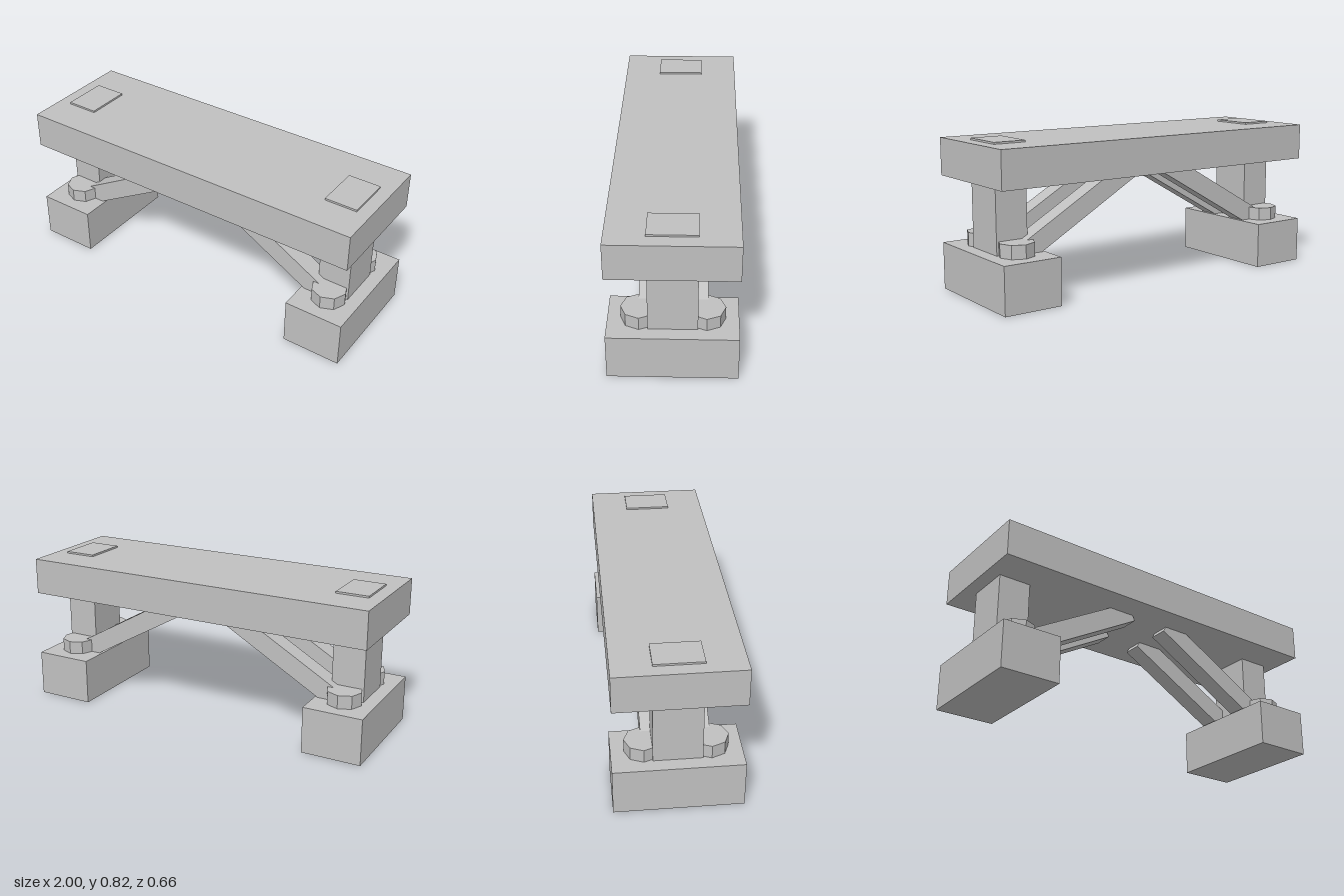
import * as THREE from 'three';

export function createModel() {
  const model = new THREE.Group();
  model.name = 'bench';
  const stone = new THREE.MeshStandardMaterial({ color: 0xc0c0c0 });
  stone.name = 'grey';

  function add(name, geometry, x, y, z) {
    const mesh = new THREE.Mesh(geometry, stone);
    mesh.name = name;
    mesh.position.set(x, y, z);
    model.add(mesh);
    return mesh;
  }

  // Seat slab
  add('seat', new THREE.BoxGeometry(2, 0.2, 0.65), 0, 0.715, 0);

  const footGeometry = new THREE.BoxGeometry(0.324, 0.253, 0.66);
  const postGeometry = new THREE.BoxGeometry(0.178, 0.575, 0.25);
  const braceGeometry = new THREE.BoxGeometry(0.745, 0.106, 0.104);
  const boltGeometry = new THREE.CylinderGeometry(0.095, 0.095, 0.075, 8).toNonIndexed();
  boltGeometry.computeVertexNormals();

  for (const side of [1, -1]) {
    const end = side > 0 ? 'left' : 'right';
    // Foot block, and a post whose top pokes through the seat
    add(end + 'Foot', footGeometry, side * 0.838, 0.1265, 0);
    add(end + 'Post', postGeometry, side * 0.838, 0.5375, 0);

    for (const depth of [1, -1]) {
      const face = depth > 0 ? 'Front' : 'Back';
      // Diagonal brace and octagonal bolt
      const brace = add(end + face + 'Brace', braceGeometry, side * 0.452, 0.45, depth * 0.123);
      brace.rotation.z = -side * THREE.MathUtils.degToRad(29.5);
      add(end + face + 'Bolt', boltGeometry, side * 0.838, 0.2875, depth * 0.168);
    }
  }
  return model;
}
